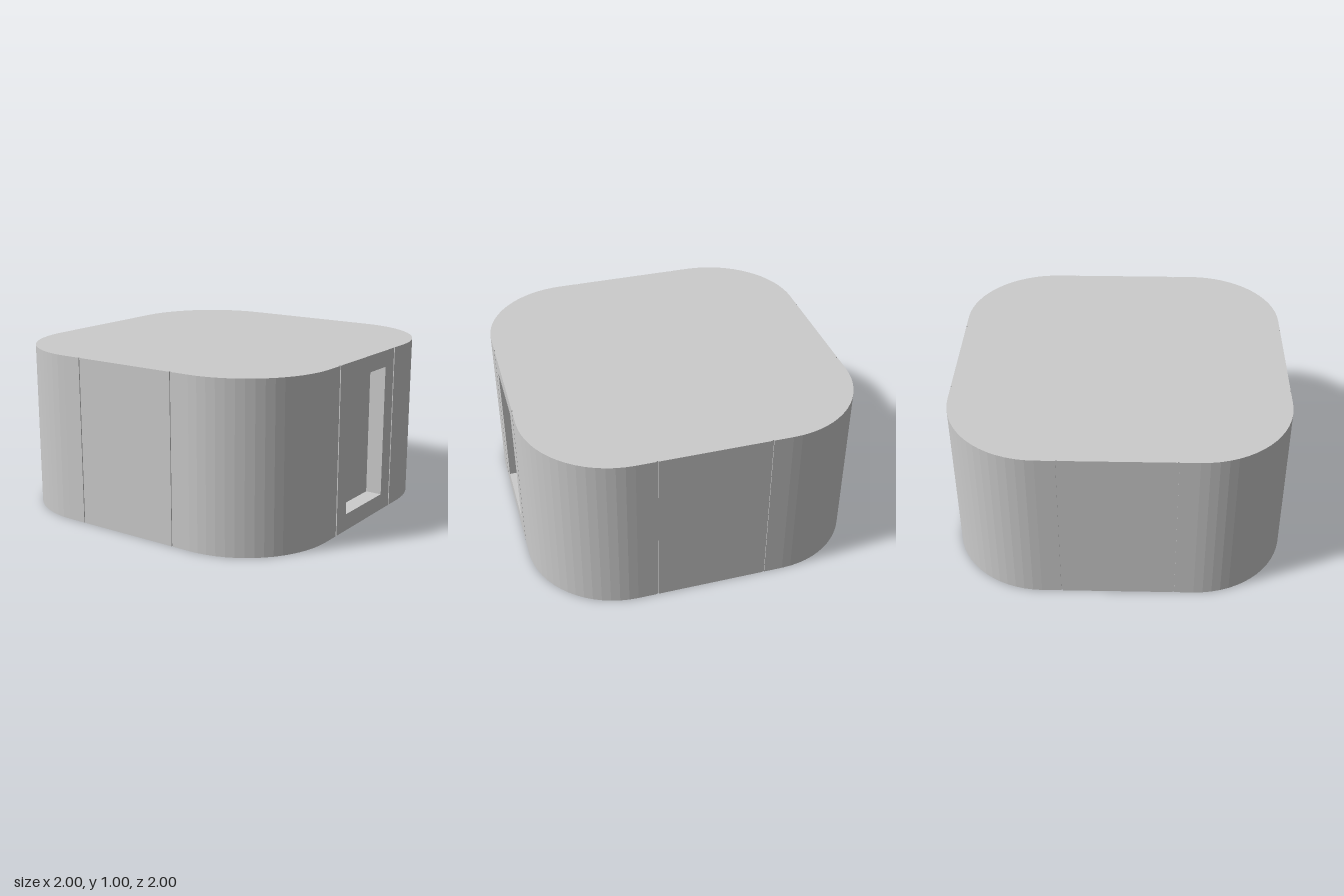
import * as THREE from 'three';

const HEIGHT = 1, RADIUS = 0.55, STEPS = 16;
const GROOVE = 0.33, HALF_GAP = 0.005, GROOVE_DEPTH = 0.006;
const POCKET_W = 0.44, POCKET_H = 0.8, POCKET_DEPTH = 0.1;
const PANEL_EDGE = 4; // outline edge replaced by the pocket panel

const material = new THREE.MeshStandardMaterial({ color: 0xcccccc, flatShading: true });

// Rounded square outline, counter-clockwise, with two fine grooves per side
function outline() {
  const points = [], c = 1 - RADIUS, d = 1 - GROOVE_DEPTH;
  const a = GROOVE - HALF_GAP, b = GROOVE + HALF_GAP;
  const side = [[1, -c], [1, -b], [d, -b], [d, -a], [1, -a], [1, a], [d, a], [d, b], [1, b]];
  for (let i = 0; i < STEPS; i++) {
    const t = (i / STEPS) * Math.PI / 2;
    side.push([c + RADIUS * Math.cos(t), c + RADIUS * Math.sin(t)]);
  }
  const origin = new THREE.Vector2();
  for (let k = 0; k < 4; k++) {
    for (const [x, y] of side) points.push(new THREE.Vector2(x, y).rotateAround(origin, k * Math.PI / 2));
  }
  return points;
}

// Flat-faceted wall along a closed outline, from z0 to z1
function wall(points, z0, z1, skip = -1) {
  const pos = [];
  points.forEach((p, i) => {
    if (i === skip) return;
    const q = points[(i + 1) % points.length];
    pos.push(p.x, p.y, z0, q.x, q.y, z0, q.x, q.y, z1, p.x, p.y, z0, q.x, q.y, z1, p.x, p.y, z1);
  });
  const g = new THREE.BufferGeometry();
  g.setAttribute('position', new THREE.Float32BufferAttribute(pos, 3));
  g.computeVertexNormals();
  return g;
}

// Clockwise rectangle, centred
function rectangle(w, h) {
  return [[-1, -1], [-1, 1], [1, 1], [1, -1]].map(([x, y]) => new THREE.Vector2(x * w / 2, y * h / 2));
}

export function createModel() {
  const model = new THREE.Group();
  const add = (parent, name, geometry) => {
    const mesh = new THREE.Mesh(geometry, material);
    mesh.name = name;
    parent.add(mesh);
    return mesh;
  };

  // Body: outer wall, top and bottom
  const points = outline();
  const body = new THREE.Group();
  body.name = 'body';
  body.rotation.x = -Math.PI / 2;
  add(body, 'outerWall', wall(points, 0, HEIGHT, PANEL_EDGE));
  add(body, 'top', new THREE.ShapeGeometry(new THREE.Shape(points))).position.z = HEIGHT;
  add(body, 'bottom', new THREE.ShapeGeometry(new THREE.Shape(points)).rotateX(Math.PI)).scale.y = 1;
  model.add(body);

  // Side panel with a shallow rectangular pocket
  const panel = new THREE.Group();
  panel.name = 'pocketPanel';
  panel.position.set(1, HEIGHT / 2, 0);
  panel.rotation.y = Math.PI / 2;
  const opening = rectangle(POCKET_W, POCKET_H);
  const frame = new THREE.Shape(rectangle(2 * (GROOVE - HALF_GAP), HEIGHT));
  frame.holes.push(new THREE.Path(opening));
  add(panel, 'panelFrame', new THREE.ShapeGeometry(frame));
  add(panel, 'pocketWalls', wall(opening, -POCKET_DEPTH, 0));
  add(panel, 'pocketBack', new THREE.PlaneGeometry(POCKET_W, POCKET_H)).position.z = -POCKET_DEPTH;
  model.add(panel);

  return model;
}
